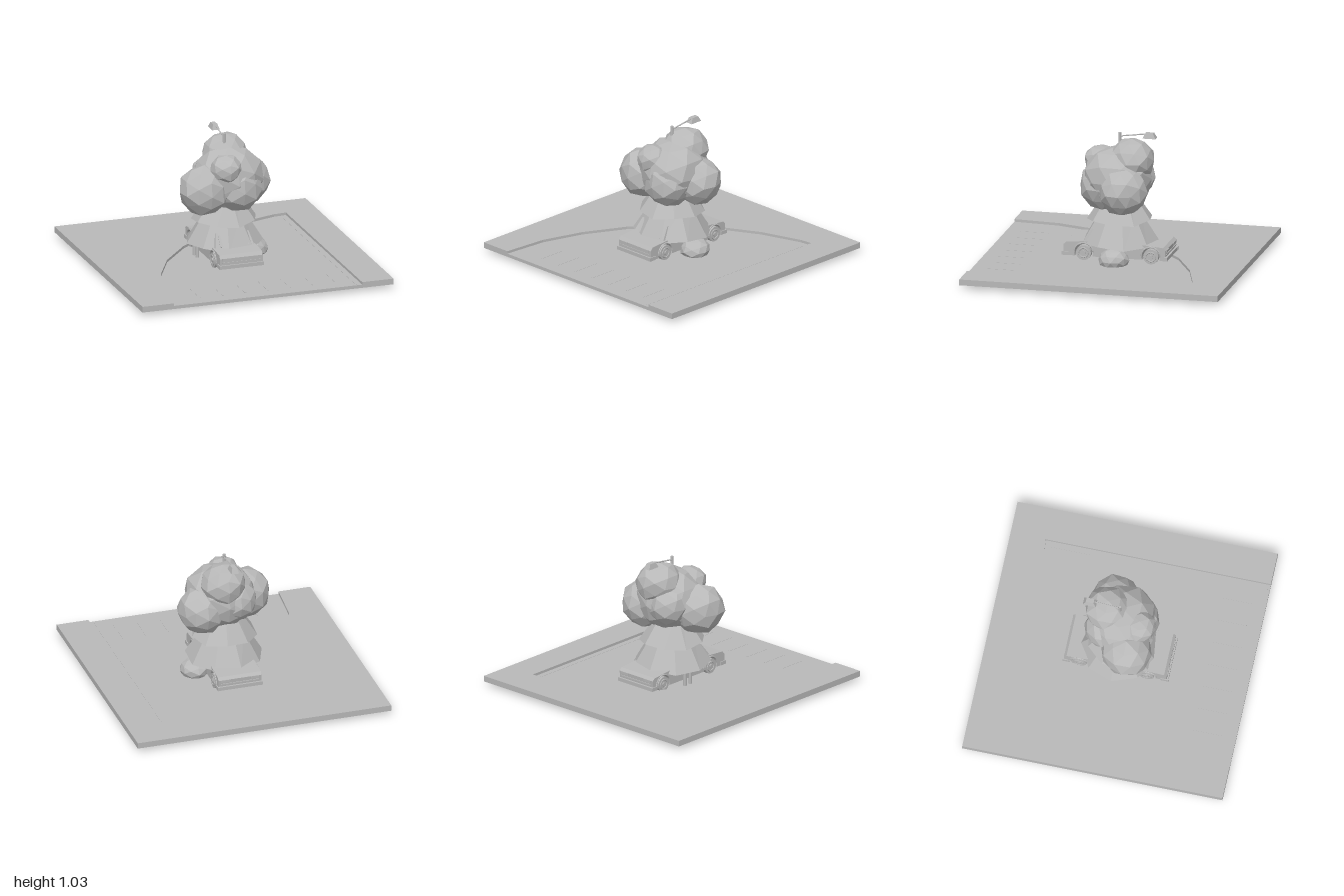
import * as THREE from 'three';

export function createModel() {
  const model = new THREE.Group();
  const grey = new THREE.MeshStandardMaterial({ color: 0xb8b8b8 });
  grey.name = 'light grey';
  grey.flatShading = true;
  grey.side = THREE.DoubleSide;

  const add = (name, geometry, x = 0, y = 0, z = 0, parent = model) => {
    const mesh = new THREE.Mesh(geometry, grey);
    mesh.name = name;
    mesh.position.set(x, y, z);
    parent.add(mesh);
    return mesh;
  };
  const box = (name, w, h, d, x, y, z, parent) => add(name, new THREE.BoxGeometry(w, h, d), x, y, z, parent);
  // Extrudes a side profile given in (z, y) across the width of the car
  const sideExtrude = (shape, width) => new THREE.ExtrudeGeometry(shape, { depth: width, bevelEnabled: false, curveSegments: 10 })
    .translate(0, 0, -width / 2).rotateY(-Math.PI / 2);
  const polygon = (points) => new THREE.Shape(points.map(([a, b]) => new THREE.Vector2(a, b)));

  // Slab with a sunken car park, open at the front
  box('slabBase', 2, 0.025, 2, 0, 0.0425, 0);
  const pavement = polygon([
    [-1, -1], [-0.75, -1], [-0.72, -0.65], [-0.62, -0.33], [-0.46, -0.02], [-0.24, 0.24], [0.02, 0.46],
    [0.33, 0.62], [0.65, 0.72], [0.75, 0.73], [0.75, -1], [1, -1], [1, 1], [-1, 1],
  ]);
  add('pavement', new THREE.ExtrudeGeometry(pavement, { depth: 0.02, bevelEnabled: false }).rotateX(-Math.PI / 2), 0, 0.055, 0);

  // Painted bay lines and the edge line
  for (let i = 0; i < 7; i++) box('bayLine', 0.012, 0.002, 0.22, -0.5 + i * 0.18, 0.0555, 0.78);
  box('edgeLine', 0.012, 0.002, 1.66, 0.71, 0.0555, 0.15);

  // Car
  const car = new THREE.Group();
  car.name = 'car';
  model.add(car);
  const body = polygon([[-0.39, 0.085], [-0.395, 0.165], [-0.375, 0.185], [-0.2, 0.2], [0.24, 0.2], [0.375, 0.19], [0.395, 0.165], [0.395, 0.085]]);
  const wheelZ = [0.24, -0.28];
  for (const z of wheelZ) {
    body.lineTo(z + 0.067, 0.085);
    body.absarc(z, 0.11, 0.072, -0.355, Math.PI + 0.355, false);
    body.lineTo(z - 0.067, 0.085);
  }
  add('carBody', sideExtrude(body, 0.34), 0, 0, 0, car);
  const cabin = sideExtrude(polygon([[-0.22, 0.195], [0.25, 0.195], [0.18, 0.295], [-0.16, 0.295]]), 0.31);
  const cp = cabin.attributes.position;
  for (let i = 0; i < cp.count; i++) if (cp.getY(i) > 0.25) cp.setX(i, cp.getX(i) * 0.85);
  add('cabin', cabin, 0, 0, 0, car);
  const glass = box('windscreen', 0.23, 0.095, 0.006, 0, 0.245, 0.217, car);
  glass.rotation.x = -0.61;

  for (const s of [1, -1]) {
    const z = s * 0.395;
    box('bumper', 0.35, 0.028, 0.024, 0, 0.1, z, car);
    box('endTrim', 0.3, 0.008, 0.008, 0, 0.132, z, car);
    for (const x of [-0.115, 0.115]) {
      box('lamp', 0.07, 0.018, 0.009, x, 0.157, z, car);
      box('bumperEnd', 0.018, 0.028, 0.06, Math.sign(x) * 0.168, 0.1, s * 0.378, car);
    }
    for (const wz of wheelZ) {
      const x = s * 0.153;
      add('tyre', new THREE.CylinderGeometry(0.058, 0.058, 0.044, 18).rotateZ(Math.PI / 2), x, 0.112, wz, car);
      add('rim', new THREE.TorusGeometry(0.036, 0.006, 6, 16).rotateY(Math.PI / 2), s * 0.174, 0.112, wz, car);
      add('hub', new THREE.CylinderGeometry(0.016, 0.016, 0.012, 10).rotateZ(Math.PI / 2), s * 0.177, 0.112, wz, car);
      const arch = new THREE.TorusGeometry(0.074, 0.006, 6, 16, Math.PI).rotateY(Math.PI / 2);
      add('wheelArch', arch, s * 0.17, 0.112, wz, car);
    }
  }

  // Conical tree with two open skirts and a trunk
  const skirt = (name, top, bottom, y0, y1, turn) => {
    const g = new THREE.CylinderGeometry(top, bottom, y1 - y0, 9, 1, true).rotateY(turn);
    const p = g.attributes.position;
    for (let i = 0; i < p.count; i++) {
      if (p.getY(i) < 0) p.setY(i, p.getY(i) + 0.012 * Math.sin(3 * Math.atan2(p.getZ(i), p.getX(i))));
    }
    add(name, g, 0, (y0 + y1) / 2, 0);
  };
  skirt('lowerSkirt', 0.16, 0.295, 0.178, 0.4, 0.5);
  skirt('upperSkirt', 0.08, 0.25, 0.355, 0.6, 0.15);
  add('trunk', new THREE.CylinderGeometry(0.05, 0.08, 0.45, 7), 0, 0.28, 0);

  // Faceted lumps, gently dented by position
  const lump = (name, r, x, y, z, sy = 1) => {
    const g = new THREE.IcosahedronGeometry(r, 1);
    const p = g.attributes.position;
    const v = new THREE.Vector3();
    for (let i = 0; i < p.count; i++) {
      v.fromBufferAttribute(p, i);
      const k = 1 + 0.05 * Math.sin(v.x / r * 5 + x * 20) * Math.cos(v.y / r * 4 + v.z / r * 3 + z * 15);
      p.setXYZ(i, v.x * k, v.y * k * sy, v.z * k);
    }
    add(name, g, x, y, z);
  };
  const crown = [
    [0.27, 0.03, 0.68, 0.01, 0.9], [0.195, -0.19, 0.62, 0.09, 1], [0.185, 0.2, 0.615, -0.075, 1],
    [0.175, 0.04, 0.825, -0.1, 0.95], [0.125, -0.04, 0.79, 0.16, 0.9], [0.19, 0.07, 0.62, 0.1, 1],
    [0.16, -0.06, 0.67, -0.1, 1],
  ];
  for (const [r, x, y, z, s] of crown) lump('foliage', r, x, y, z, s);
  lump('bush', 0.115, 0.235, 0.09, -0.01, 0.75);
  for (const [x, z] of [[-0.09, 0.03], [0.01, 0.05], [0.09, 0]]) lump('root', 0.035, x, 0.033, z, 0.9);

  // Street lamp rising through the tree
  const lamp = new THREE.Group();
  lamp.name = 'streetLamp';
  model.add(lamp);
  add('lampPole', new THREE.CylinderGeometry(0.01, 0.013, 0.965, 8), 0, 0.5375, 0, lamp);
  const arm = new THREE.LineCurve3(new THREE.Vector3(0, 0.992, 0), new THREE.Vector3(0, 1.02, -0.2));
  add('lampArm', new THREE.TubeGeometry(arm, 1, 0.005, 6), 0, 0, 0, lamp);
  add('lampHead', new THREE.CylinderGeometry(0.025, 0.042, 0.04, 4).rotateY(Math.PI / 4).scale(1, 1, 1.7), 0, 1.01, -0.23, lamp);

  // Twin bollards beside the car
  for (const z of [-0.08, -0.02]) {
    add('bollard', new THREE.CylinderGeometry(0.014, 0.014, 0.12, 8), -0.207, 0.115, z);
    add('bollardCap', new THREE.CylinderGeometry(0.01, 0.018, 0.014, 8), -0.207, 0.18, z);
  }
  return model;
}
